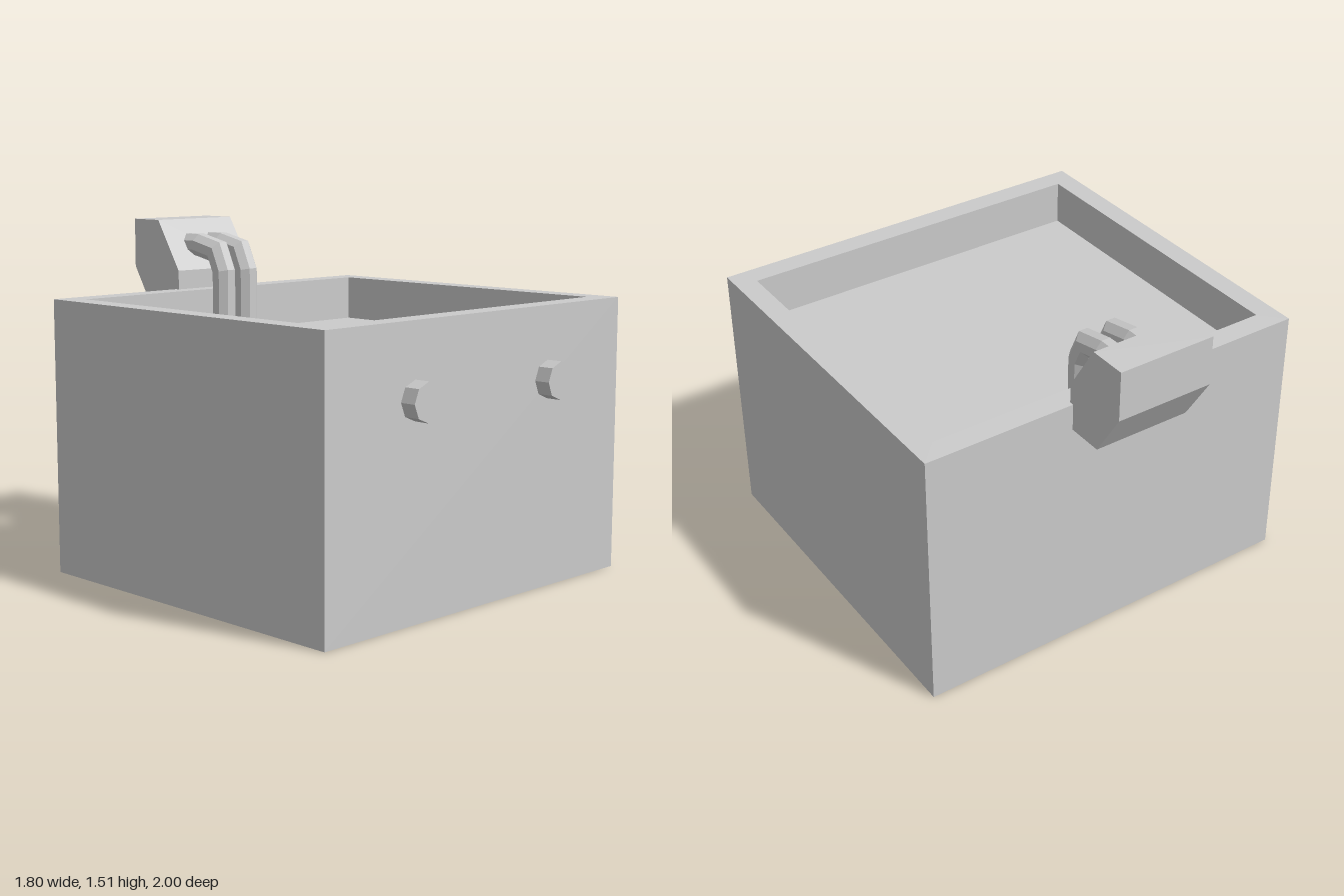
import * as THREE from 'three';

const material = new THREE.MeshStandardMaterial({ color: 0xcccccc, flatShading: true });
const v = (x, y, z) => new THREE.Vector3(x, y, z);

// Closed solid through rings that run counter-clockwise about the travel direction
function loft(name, rings) {
  const points = [];
  const n = rings[0].length;
  for (let r = 0; r < rings.length - 1; r++) {
    const a = rings[r], b = rings[r + 1];
    for (let i = 0; i < n; i++) {
      const j = (i + 1) % n;
      points.push(a[i], a[j], b[j], a[i], b[j], b[i]);
    }
  }
  const first = rings[0], last = rings[rings.length - 1];
  for (let i = 1; i < n - 1; i++) {
    points.push(first[0], first[i + 1], first[i], last[0], last[i], last[i + 1]);
  }
  const geometry = new THREE.BufferGeometry().setFromPoints(points);
  geometry.computeVertexNormals();
  const mesh = new THREE.Mesh(geometry, material);
  mesh.name = name;
  return mesh;
}

// Horizontal rectangle at height y
const rectangle = (halfX, back, front, y) => [
  v(halfX, y, front), v(halfX, y, back), v(-halfX, y, back), v(-halfX, y, front),
];

// Mitred octagonal pipe following a path in a plane of constant x
function pipe(name, path, radius) {
  const across = v(1, 0, 0);
  const rings = path.map((p, k) => {
    const before = p.clone().sub(path[Math.max(k - 1, 0)]).normalize();
    const after = path[Math.min(k + 1, path.length - 1)].clone().sub(p).normalize();
    const travel = before.clone().add(after).normalize();
    const side = travel.clone().cross(across);
    const stretch = 1 / travel.dot(k ? before : after);
    return Array.from({ length: 8 }, (_, i) => {
      const t = (i + 0.5) * Math.PI / 4;
      return p.clone()
        .addScaledVector(across, radius * Math.cos(t))
        .addScaledVector(side, radius * stretch * Math.sin(t));
    });
  });
  return loft(name, rings);
}

export function createModel() {
  const model = new THREE.Group();

  // Open-topped tub with a shallow recess
  model.add(loft('tub', [
    rectangle(0.9, -0.71, 0.93, 0),
    rectangle(0.9, -0.71, 0.93, 1.2),
    rectangle(0.805, -0.61, 0.83, 1.2),
    rectangle(0.805, -0.61, 0.83, 1.0),
  ]));

  // Six-sided block hung on the back rim
  const profile = [
    [1.51, -1], [1.51, -0.83], [1.285, -0.69], [1.08, -0.69], [1.08, -0.87], [1.29, -1],
  ];
  model.add(loft('backBlock', [-0.22, 0.22].map((x) => profile.map(([y, z]) => v(x, y, z)))));

  for (const [side, s] of [['left', 1], ['right', -1]]) {
    // Bent pipe from the recess floor into the block
    const path = [[1.0, -0.553], [1.28, -0.553], [1.37, -0.594], [1.395, -0.71], [1.395, -0.83]];
    model.add(pipe(side + 'Pipe', path.map(([y, z]) => v(s * 0.067, y, z)), 0.054));

    // Octagonal knob on the front wall
    const knob = new THREE.Mesh(new THREE.CylinderGeometry(0.081, 0.081, 0.07, 8), material);
    knob.name = side + 'Knob';
    knob.rotation.x = Math.PI / 2;
    knob.position.set(s * 0.41, 0.89, 0.965);
    model.add(knob);
  }

  return model;
}
